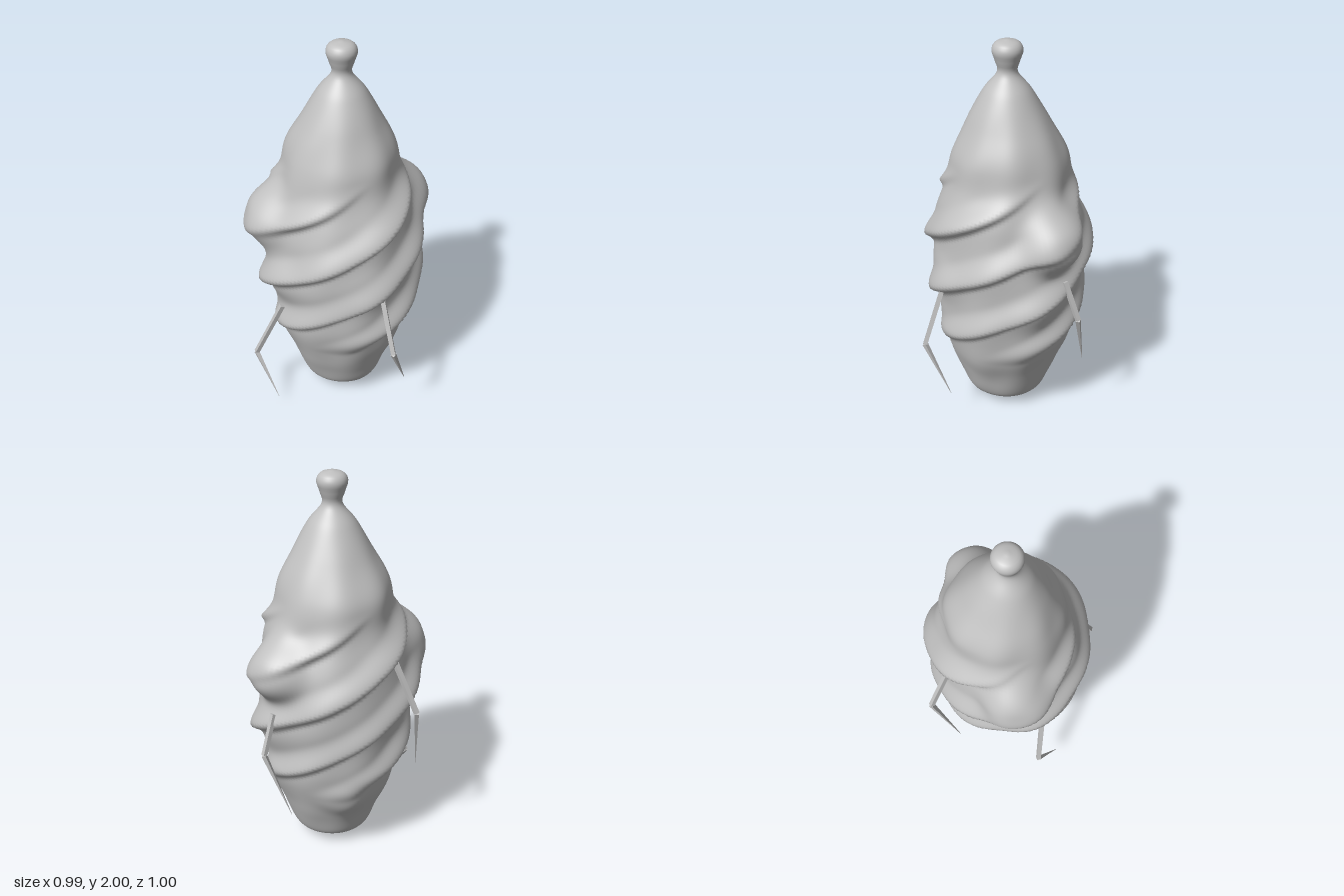
import * as THREE from 'three';
import { mergeVertices } from 'three/addons/utils/BufferGeometryUtils.js';

const smooth = THREE.MathUtils.smoothstep;
const wrapAngle = a => Math.atan2(Math.sin(a), Math.cos(a));
// Blunt-topped bump
const bump = (angle, y, [a, h, wa, wy]) => Math.exp(-(((wrapAngle(angle - a) / wa) ** 2 + ((y - h) / wy) ** 2) ** 1.5));

// Radius profile of the wrapped bundle: [radius, height]
const PROFILE = [
  [0, 0.005], [0.05, 0.018], [0.1, 0.036], [0.155, 0.056], [0.2, 0.085], [0.245, 0.2], [0.305, 0.36], [0.337, 0.5],
  [0.35, 0.65], [0.36, 0.8], [0.36, 1.0], [0.342, 1.15], [0.302, 1.3], [0.272, 1.45],
  [0.2, 1.6], [0.118, 1.75], [0.05, 1.84], [0.06, 1.9], [0.074, 1.95], [0.055, 1.985], [0, 2.0],
];

// Lumps: [angle, height, angular width, vertical width, depth]
const ELBOWS = [
  [1.75, 1.1, 0.4, 0.15, 0.125], [-1.78, 1.11, 0.4, 0.155, 0.13],
];
const LUMPS = [
  [1.6, 0.78, 0.6, 0.16, 0.03], [-1.5, 0.82, 0.55, 0.14, 0.035],
  [2.75, 0.36, 0.4, 0.09, 0.025], [0.1, 0.16, 0.5, 0.1, 0.01],
  [-2.4, 0.95, 0.5, 0.25, 0.025], [2.6, 0.95, 0.5, 0.25, 0.025],
  [0, 0.82, 0.4, 0.12, 0.015], [-0.6, 0.9, 0.4, 0.2, 0.012],
];

// Four strands climb around the bundle; each has a sharp underside and a soft upper slope
function strand(angle, y) {
  const pitch = 0.31;
  const v = (y - 0.455 - pitch * angle / (Math.PI / 2)) / pitch;
  const t = v - Math.floor(v);
  const shape = t < 0.5 ? 1 - smooth(t, 0, 0.45) : smooth(t, 0.86, 1);
  return 0.05 * shape * smooth(y, 0.36, 0.54) * (1 - smooth(y, 1.15, 1.4));
}

function makeCocoon() {
  const curve = new THREE.SplineCurve(PROFILE.map(p => new THREE.Vector2(...p)));
  const points = curve.getSpacedPoints(170);
  points.forEach(p => { p.x = Math.max(p.x, 0); });
  points[0].x = points[170].x = 0;
  const lathe = new THREE.LatheGeometry(points, 120);
  const pos = lathe.attributes.position;
  for (let i = 0; i < pos.count; i++) {
    const x = pos.getX(i), y = pos.getY(i), z = pos.getZ(i);
    const r = Math.hypot(x, z);
    const angle = Math.atan2(x, z);
    let d = strand(angle, y);
    // The strands flatten out where the elbows push through
    for (const lump of ELBOWS) {
      const b = bump(angle, y, lump);
      d = d * (1 - 0.75 * b) + lump[4] * b;
    }
    for (const lump of LUMPS) d += lump[4] * bump(angle, y, lump);
    // Uneven, slightly creased cloth
    d += 0.007 * Math.sin(3 * angle + 9 * y) * Math.sin(5 * angle - 13 * y) * smooth(y, 0.05, 0.3) * (1 - smooth(y, 1.4, 1.75));
    const k = r > 1e-5 ? (r + d) / r : 0;
    // The shoulder leans slightly to the back
    const lean = 0.015 * Math.exp(-(((y - 1.42) / 0.18) ** 2));
    pos.setXYZ(i, x * k + 0.003, y, z * k - 0.018 - lean);
  }
  // Weld the seam so that the shading is continuous
  lathe.deleteAttribute('uv');
  lathe.deleteAttribute('normal');
  const geo = mergeVertices(lathe, 1e-5);
  geo.computeVertexNormals();
  return geo;
}

// Tapered four-sided rod between two points
function makeRod(a, b, ra, rb) {
  const dir = b.clone().sub(a);
  const geo = new THREE.CylinderGeometry(rb, ra, dir.length(), 4, 1).toNonIndexed();
  geo.computeVertexNormals();
  geo.applyQuaternion(new THREE.Quaternion().setFromUnitVectors(new THREE.Vector3(0, 1, 0), dir.normalize()));
  geo.translate(...a.clone().add(b).multiplyScalar(0.5).toArray());
  return geo;
}

// Base, knee and tip of each thin leg
const LEGS = {
  frontLeg: [[0.055, 0.77, 0.38], [0.07, 0.5, 0.485], [0.18, 0.23, 0.4]],
  rightLeg: [[-0.355, 0.62, 0.05], [-0.487, 0.3, -0.01], [-0.42, 0.07, 0.125]],
  leftLeg: [[0.405, 0.88, -0.12], [0.482, 0.69, -0.155], [0.39, 0.36, -0.25]],
  backLeg: [[-0.125, 1.13, -0.37], [-0.18, 0.88, -0.487], [-0.27, 0.5, -0.38]],
};

export function createModel() {
  const model = new THREE.Group();
  model.name = 'wrappedCocoon';
  const grey = new THREE.MeshStandardMaterial({ color: 0xc0c0c0 });
  grey.name = 'pale grey';

  const cocoon = new THREE.Mesh(makeCocoon(), grey);
  cocoon.name = 'cocoon';
  model.add(cocoon);

  for (const [name, path] of Object.entries(LEGS)) {
    const [base, knee, tip] = path.map(p => new THREE.Vector3(...p));
    const leg = new THREE.Group();
    leg.name = name;
    const upper = new THREE.Mesh(makeRod(base, knee, 0.016, 0.015), grey);
    upper.name = 'upperLeg';
    const lower = new THREE.Mesh(makeRod(knee, tip, 0.015, 0.001), grey);
    lower.name = 'lowerLeg';
    leg.add(upper, lower);
    model.add(leg);
  }
  return model;
}
